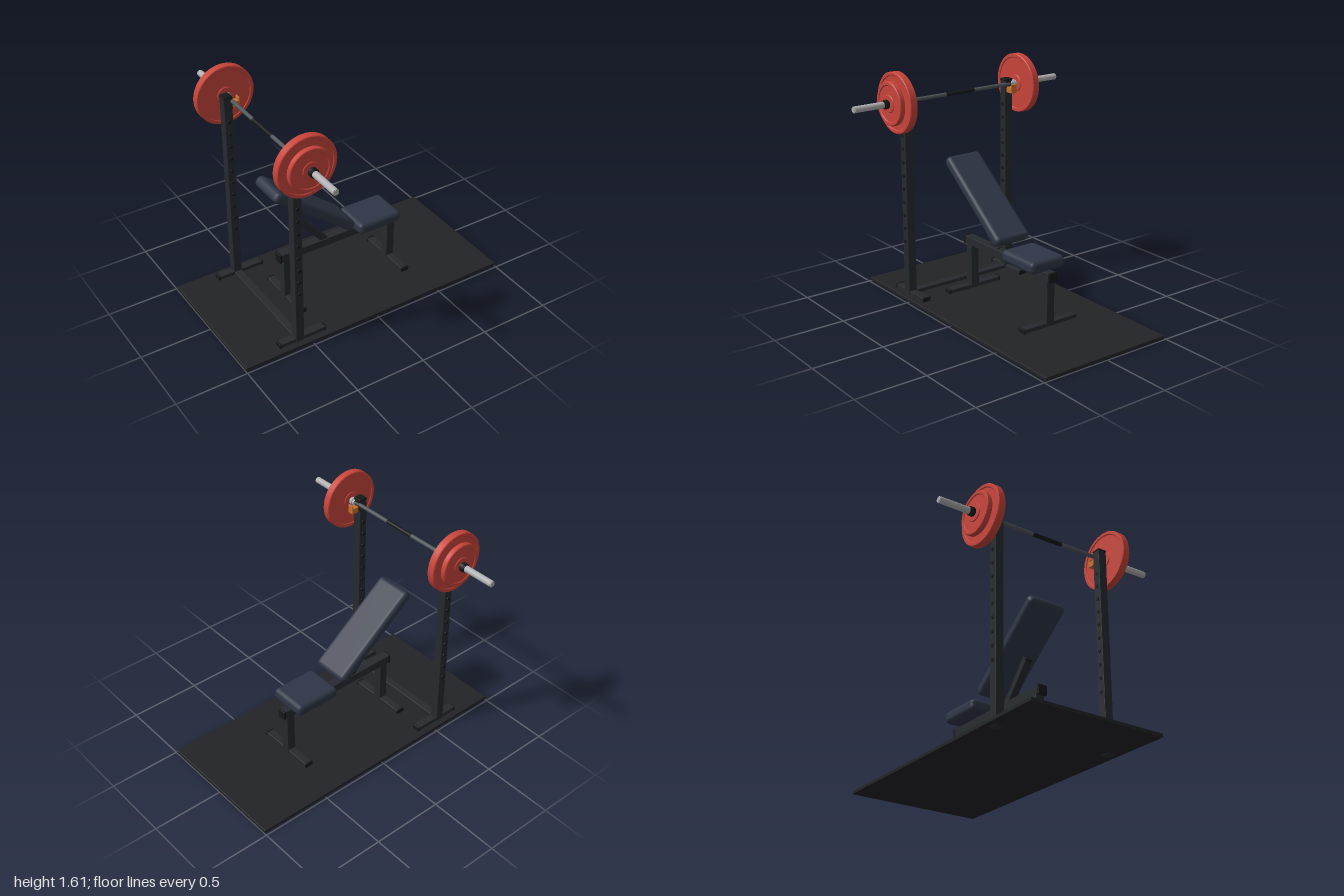
import * as THREE from 'three';
import { RoundedBoxGeometry } from 'three/addons/geometries/RoundedBoxGeometry.js';

const mat = (color) => new THREE.MeshStandardMaterial({ color });
const FRAME = mat(0x262a2e), DARK = mat(0x16181a), FLOOR = mat(0x222326), PAD = mat(0x2f3646);
const RED = mat(0xc8443a), ORANGE = mat(0xc8702f), STEEL = mat(0xb0b0b2), SHAFT = mat(0x50555a);

function add(parent, name, geometry, material, x = 0, y = 0, z = 0) {
  const mesh = new THREE.Mesh(geometry, material);
  mesh.name = name;
  mesh.position.set(x, y, z);
  parent.add(mesh);
  return mesh;
}

// Box given by its extents on each axis
function box(parent, name, material, [x0, x1], [y0, y1], [z0, z1], r = 0.004) {
  const g = new RoundedBoxGeometry(x1 - x0, y1 - y0, z1 - z0, 2, r);
  return add(parent, name, g, material, (x0 + x1) / 2, (y0 + y1) / 2, (z0 + z1) / 2);
}

// Cylinder lying along z
function rod(parent, name, material, r, z0, z1, x, y, sides = 32) {
  const g = new THREE.CylinderGeometry(r, r, z1 - z0, sides).rotateX(Math.PI / 2);
  return add(parent, name, g, material, x, y, (z0 + z1) / 2);
}

// Weight plate along z: raised rim, shallow web and raised hub on both faces
function plateGeometry(radius, width) {
  const h = width / 2, web = h - 0.005, c = 0.005;
  const half = [[0.022, h], [0.055, h], [0.06, web], [radius - 0.028, web],
    [radius - 0.023, h], [radius - c, h], [radius, h - c]];
  const loop = [...half.map(([r, y]) => [r, -y]), ...half.reverse(), [0.022, -h]];
  // Doubled points keep the edges of the profile crisp
  const points = loop.flatMap(([r, y]) => [new THREE.Vector2(r, y), new THREE.Vector2(r, y)]);
  const g = new THREE.LatheGeometry(points, 64).toNonIndexed();
  g.computeVertexNormals();
  return g.rotateX(Math.PI / 2);
}

function buildRack() {
  const rack = new THREE.Group();
  rack.name = 'rack';
  for (const s of [1, -1]) {
    const side = new THREE.Group();
    side.name = s > 0 ? 'leftUpright' : 'rightUpright';
    const span = (a, b) => (s > 0 ? [a, b] : [-b, -a]);
    box(side, 'post', FRAME, [-0.607, -0.548], [0.002, 1.435], span(0.385, 0.447));
    box(side, 'postCap', DARK, [-0.609, -0.546], [1.428, 1.441], span(0.383, 0.449));
    box(side, 'foot', FRAME, [-0.715, -0.39], [0.028, 0.058], span(0.388, 0.442));
    for (const x of [-0.72, -0.385])
      box(side, 'footCap', DARK, [x - 0.007, x + 0.007], [0.026, 0.061], span(0.385, 0.445));
    // Row of adjustment holes through the post
    for (let i = 0; i < 10; i++)
      rod(side, 'pinHole', DARK, 0.012, s * 0.416 - 0.037, s * 0.416 + 0.037, -0.577, 1.26 - i * 0.0935, 16);
    // Hook that carries the bar
    box(side, 'hookBack', DARK, [-0.55, -0.541], [1.345, 1.43], span(0.394, 0.438), 0.002);
    box(side, 'hookBlock', ORANGE, [-0.545, -0.487], [1.347, 1.388], span(0.394, 0.438));
    box(side, 'hookLip', ORANGE, [-0.498, -0.487], [1.375, 1.41], span(0.394, 0.438));
    rack.add(side);
  }
  box(rack, 'crossBeam', FRAME, [-0.605, -0.55], [0.028, 0.056], [-0.39, 0.39]);
  return rack;
}

function buildBarbell() {
  const bar = new THREE.Group();
  bar.name = 'barbell';
  const X = -0.548, Y = 1.404;
  rod(bar, 'shaft', SHAFT, 0.013, -0.46, 0.46, X, Y);
  rod(bar, 'centreGrip', DARK, 0.0138, -0.115, 0.115, X, Y);
  const big = plateGeometry(0.206, 0.054), small = plateGeometry(0.147, 0.038);
  for (const s of [1, -1]) {
    const at = (name, m, r, a, b) =>
      rod(bar, name, m, r, Math.min(s * a, s * b), Math.max(s * a, s * b), X, Y);
    at('sleeve', STEEL, 0.022, 0.43, 0.827);
    at('sleeveTip', STEEL, 0.019, 0.825, 0.831);
    at('innerCollar', STEEL, 0.029, 0.445, 0.46);
    at('clampCollar', DARK, 0.031, 0.577, 0.6);
    at('clampRing', DARK, 0.026, 0.57, 0.608);
    add(bar, 'largePlate', big, RED, X, Y, s * 0.499);
    add(bar, 'smallPlate', small, RED, X, Y, s * 0.548);
  }
  return bar;
}

function buildBench() {
  const bench = new THREE.Group();
  bench.name = 'bench';
  box(bench, 'mainBeam', FRAME, [-0.468, 0.463], [0.347, 0.405], [-0.031, 0.031]);
  for (const x of [-0.468, 0.463])
    box(bench, 'beamCap', DARK, [x - 0.008, x + 0.008], [0.342, 0.41], [-0.034, 0.034]);
  for (const x of [-0.418, 0.415]) {
    box(bench, 'leg', FRAME, [x - 0.03, x + 0.03], [0.03, 0.355], [-0.031, 0.031]);
    box(bench, 'foot', FRAME, [x - 0.027, x + 0.027], [0.028, 0.058], [-0.21, 0.21]);
    for (const z of [-0.21, 0.21])
      box(bench, 'footCap', DARK, [x - 0.03, x + 0.03], [0.026, 0.061], [z - 0.007, z + 0.007]);
  }
  // Seat and inclined backrest
  box(bench, 'seat', PAD, [0.092, 0.424], [0.405, 0.488], [-0.137, 0.137], 0.03);
  const back = add(bench, 'backrest', new RoundedBoxGeometry(0.745, 0.078, 0.274, 5, 0.032), PAD, -0.249, 0.727, 0);
  back.rotation.z = -0.665;
  // Leaning strut behind the backrest
  const strut = new THREE.Group();
  strut.name = 'backStrut';
  box(strut, 'strutTube', FRAME, [-0.165, 0.155], [-0.024, 0.024], [-0.025, 0.025]);
  box(strut, 'strutCap', DARK, [-0.169, -0.157], [-0.026, 0.026], [-0.027, 0.027]);
  strut.position.set(-0.218, 0.513, 0);
  strut.rotation.z = -0.86;
  bench.add(strut);
  return bench;
}

export function createModel() {
  const model = new THREE.Group();
  model.name = 'benchPressStation';
  box(model, 'floorMat', FLOOR, [-1, 1], [0.006, 0.031], [-0.488, 0.488]);
  model.add(buildRack(), buildBarbell(), buildBench());
  return model;
}
